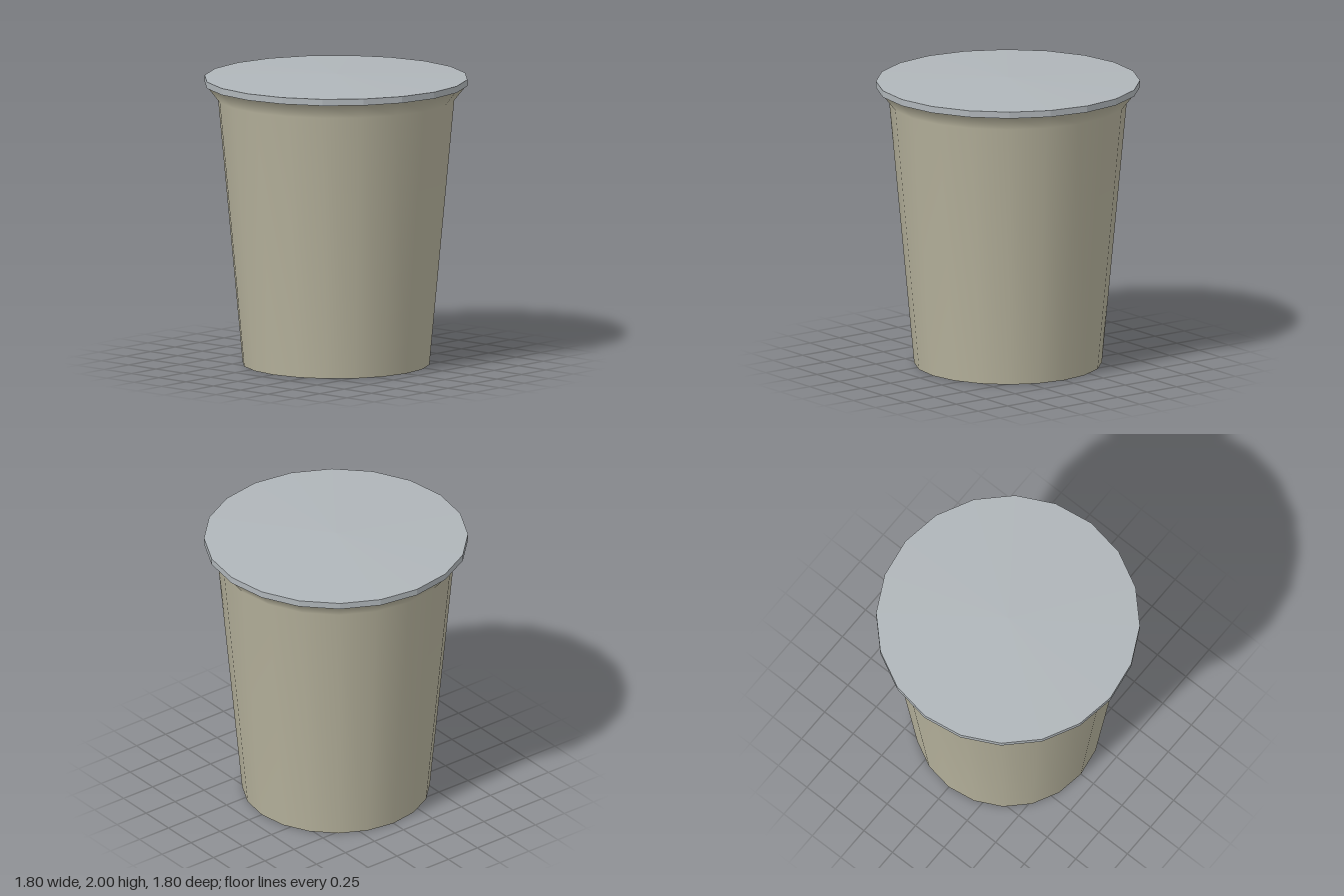
import * as THREE from 'three';

const SIDES = 20;

// Revolve a profile of [radius, height] pairs, listed from bottom to top
function revolve(profile) {
  return new THREE.LatheGeometry(profile.map(([r, y]) => new THREE.Vector2(r, y)), SIDES);
}

export function createModel() {
  const cupMaterial = new THREE.MeshStandardMaterial({ color: 0xb8b49e });
  cupMaterial.name = 'warm beige';
  const lidMaterial = new THREE.MeshStandardMaterial({ color: 0xb0b6ba });
  lidMaterial.name = 'cool grey';

  const model = new THREE.Group();
  model.name = 'cup';
  const add = (name, geometry, material) => {
    const mesh = new THREE.Mesh(geometry, material);
    mesh.name = name;
    model.add(mesh);
    return mesh;
  };

  // Tapered wall with a flared lip, smooth shaded
  add('cupWall', revolve([[0.64, 0], [0.81, 1.83], [0.89, 1.93]]), cupMaterial);

  // Flat base facing down, its corners matching the wall
  const base = add('cupBase', new THREE.CircleGeometry(0.64, SIDES), cupMaterial);
  base.rotation.x = Math.PI / 2;

  // Faceted lid with a shallow cone on top
  const lid = revolve([[0, 1.93], [0.9, 1.93], [0.9, 1.975], [0, 2]]).toNonIndexed();
  lid.computeVertexNormals();
  add('lid', lid, lidMaterial);

  return model;
}
